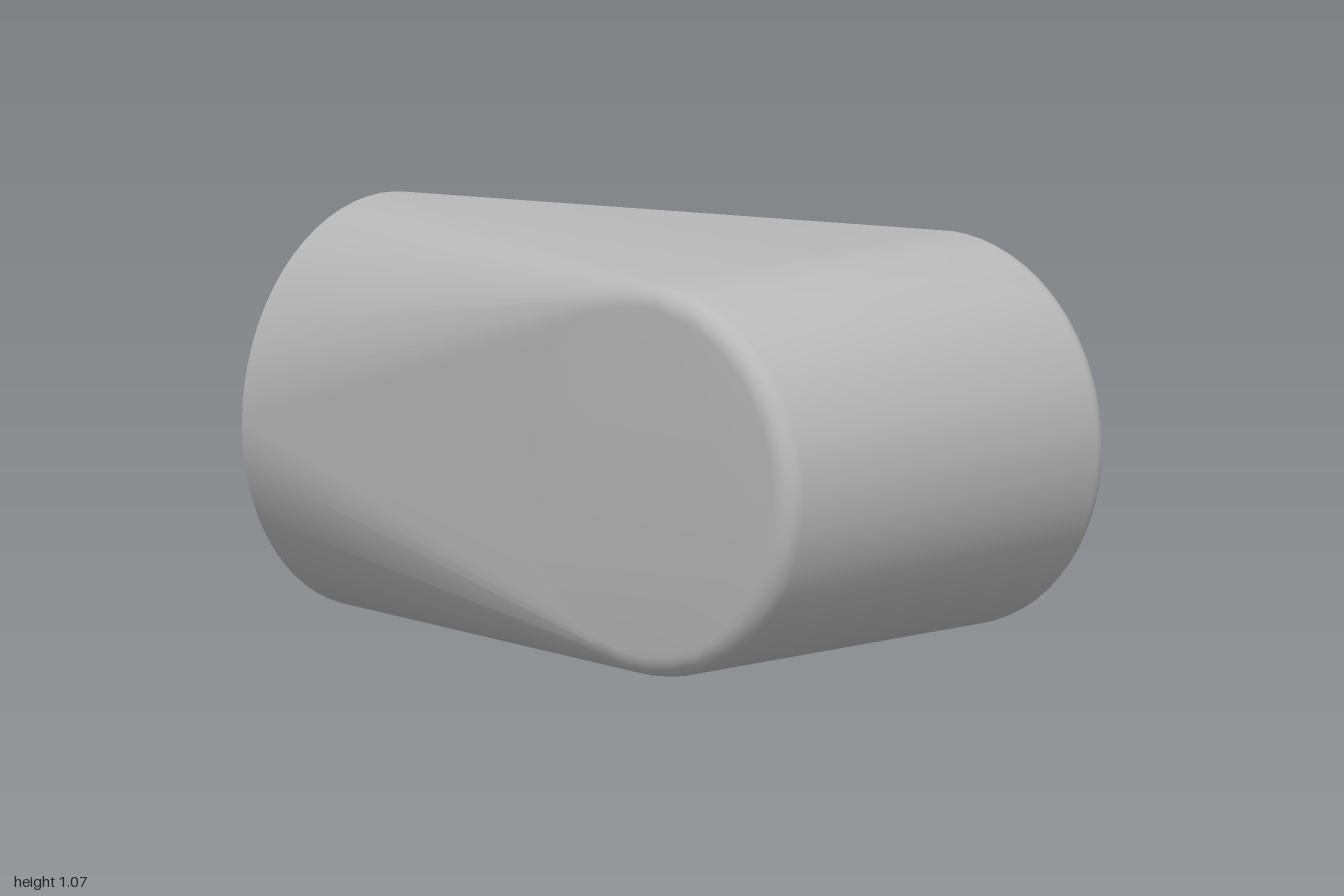
import * as THREE from 'three';
import { ConvexGeometry } from 'three/addons/geometries/ConvexGeometry.js';
import { toCreasedNormals } from 'three/addons/utils/BufferGeometryUtils.js';

const SIDES = 64;
const CENTRE_Y = 0.54;

// Points of a circle; place(cos, sin) turns each into a position
function ring(radius, place) {
  return Array.from({ length: SIDES }, (_, i) => {
    const a = (i / SIDES) * Math.PI * 2;
    return place(Math.cos(a) * radius, Math.sin(a) * radius);
  });
}

export function createModel() {
  const grey = new THREE.MeshStandardMaterial({ color: 0xb8b8b8 });
  grey.name = 'grey';
  const points = [];

  // Front roller lying along x, with rounded rims
  const halfWidth = 0.617, rollerRadius = 0.51, fillet = 0.055, steps = 5;
  for (const side of [-1, 1]) {
    for (let i = 0; i <= steps; i++) {
      const t = (i / steps) * Math.PI / 2;
      const x = side * (halfWidth - fillet + fillet * Math.sin(t));
      const r = rollerRadius - fillet + fillet * Math.cos(t);
      points.push(...ring(r, (c, s) => new THREE.Vector3(x, CENTRE_Y + s, 0.49 + c)));
    }
  }

  // Round back end, slightly off centre, with a chamfer down to a smaller flat
  for (const [r, z] of [[0.535, -0.9], [0.3, -1]]) {
    points.push(...ring(r, (c, s) => new THREE.Vector3(-0.068 + c, CENTRE_Y + s, z)));
  }

  // One skin stretched over the roller and the back end
  const skin = toCreasedNormals(new ConvexGeometry(points), THREE.MathUtils.degToRad(40));
  const body = new THREE.Mesh(skin, grey);
  body.name = 'body';

  const model = new THREE.Group();
  model.name = 'taperedBlock';
  model.add(body);
  return model;
}
